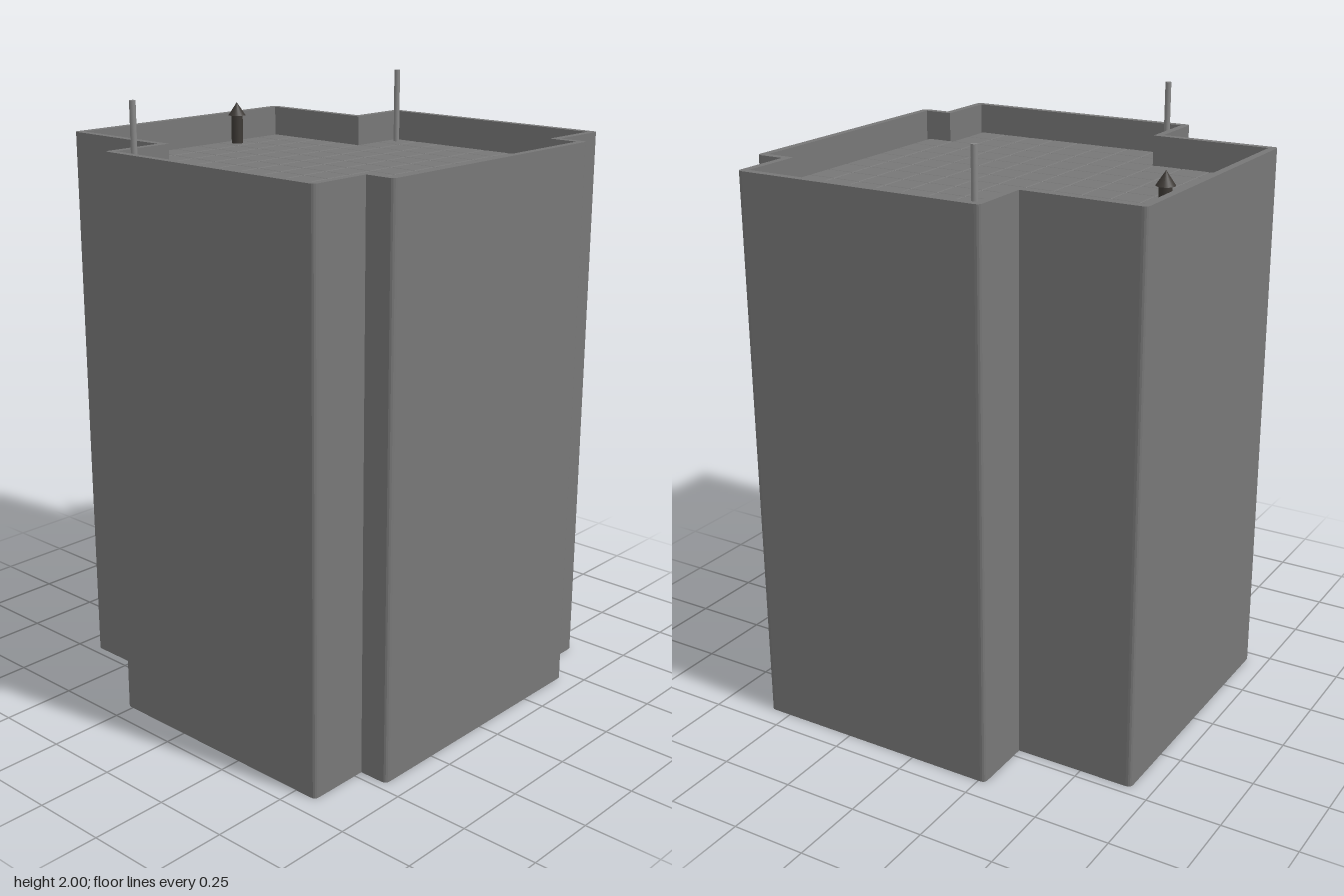
import * as THREE from 'three';
import { RoundedBoxGeometry } from 'three/addons/geometries/RoundedBoxGeometry.js';

const WALL = 0.025, ROOF = 1.85, DECK = 1.75;
const grey = new THREE.MeshStandardMaterial({ color: 0x777777 });
const rodGrey = new THREE.MeshStandardMaterial({ color: 0x888888 });
const dark = new THREE.MeshStandardMaterial({ color: 0x3d3935 });

// Cross-shaped plan (x, -z), inset by d, with the convex corners rounded by r
function tracePlan(path, d, r) {
  const x0 = -0.68 + d, x1 = 0.677 - d, n0 = -0.47 + d, n1 = 0.466 - d;
  const back = 0.68 - d, wingBack = 0.275 - d, wingFront = -0.578 + d, front = -0.677 + d;
  const pts = [
    [n0, front], [n1, front], [n1, wingFront], [x1, wingFront], [x1, wingBack], [n1, wingBack],
    [n1, back], [n0, back], [n0, wingBack], [x0, wingBack], [x0, wingFront], [n0, wingFront],
  ].map(([x, y]) => new THREE.Vector2(x, y));
  const count = pts.length;
  pts.forEach((p, i) => {
    const toPrev = pts[(i + count - 1) % count].clone().sub(p).normalize();
    const toNext = pts[(i + 1) % count].clone().sub(p).normalize();
    const convex = toNext.cross(toPrev) > 0;
    const a = p.clone().addScaledVector(toPrev, convex ? r : 0);
    const b = p.clone().addScaledVector(toNext, convex ? r : 0);
    if (i === 0) path.moveTo(a.x, a.y); else path.lineTo(a.x, a.y);
    if (convex && r > 0) path.quadraticCurveTo(p.x, p.y, b.x, b.y);
  });
  path.closePath();
  return path;
}

function add(parent, name, geometry, material, x, y, z) {
  const mesh = new THREE.Mesh(geometry, material);
  mesh.name = name;
  mesh.position.set(x, y, z);
  parent.add(mesh);
  return mesh;
}

export function createModel() {
  const model = new THREE.Group();
  model.name = 'towerBlock';

  // Hollow outer walls, open below, rising past the deck as a parapet
  const plan = tracePlan(new THREE.Shape(), 0, 0.018);
  plan.holes.push(tracePlan(new THREE.Path(), WALL, 0));
  const shell = new THREE.ExtrudeGeometry(plan, { depth: ROOF, bevelEnabled: false, curveSegments: 4 });
  shell.rotateX(-Math.PI / 2);
  add(model, 'outerWalls', shell, grey, 0, 0, 0);

  // Recessed deck of softly rounded square tiles
  const deck = new THREE.Group();
  deck.name = 'roofDeck';
  model.add(deck);
  const tile = new RoundedBoxGeometry(0.1, 0.02, 0.1, 2, 0.005);
  for (let row = 0; row < 13; row++) {
    const inWings = row >= 4 && row <= 11;
    for (let col = inWings ? 0 : 2; col < (inWings ? 13 : 11); col++) {
      add(deck, 'deckTile', tile, grey, -0.6 + col * 0.1, DECK - 0.01, -0.605 + row * 0.1);
    }
  }

  // Antenna rods in the two rear wing corners
  const rod = new THREE.CylinderGeometry(0.01, 0.01, 2 - DECK, 12);
  add(model, 'leftAntenna', rod, rodGrey, 0.61, (2 + DECK) / 2, -0.218);
  add(model, 'rightAntenna', rod, rodGrey, -0.613, (2 + DECK) / 2, -0.218);

  // Vent pipe with a conical cap
  const vent = new THREE.Group();
  vent.name = 'roofVent';
  vent.position.set(0.195, DECK, -0.603);
  model.add(vent);
  add(vent, 'ventPipe', new THREE.CylinderGeometry(0.02, 0.02, 0.1, 16), dark, 0, 0.05, 0);
  add(vent, 'ventCap', new THREE.ConeGeometry(0.03, 0.045, 24), dark, 0, 0.12, 0);

  return model;
}
